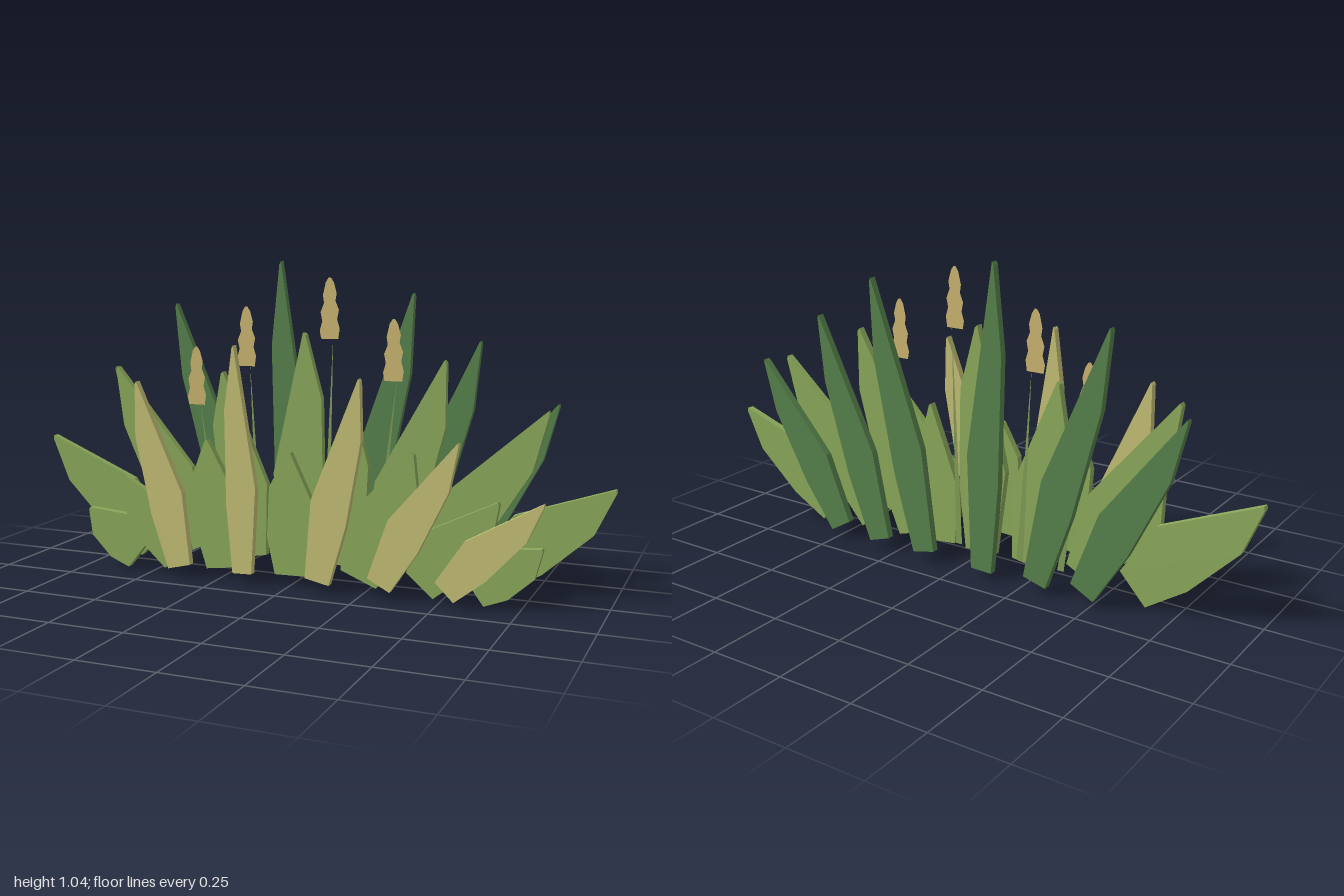
import * as THREE from 'three';

const THICK = 0.025;
// Half outline of a leaf: [across (in widths, + is the outer side), along (0 base, 1 tip)]
const LEAF = [[-0.34, 0], [-0.58, 0.38], [-0.02, 1], [0.03, 0.99], [0.36, 0.72], [0.42, 0.3], [0.3, 0]];
// Right half of a seed head: [half width, height]
const HEAD = [[0.03, 0], [0.035, 0.035], [0.026, 0.065], [0.032, 0.095], [0.02, 0.125], [0.024, 0.15], [0.014, 0.185], [0.004, 0.2]];

// Each leaf: base x, base y, tip x, tip y, width
const LAYERS = [
  { name: 'backLeaf', z: -0.16, color: 0x55804a, leaves: [
    [-0.48, 0.06, -0.80, 0.67, 0.14], [-0.31, 0.05, -0.55, 0.90, 0.13], [-0.11, 0.04, -0.15, 1.05, 0.12],
    [0.125, 0.05, 0.32, 0.95, 0.13], [0.31, 0.05, 0.545, 0.80, 0.13], [0.48, 0.06, 0.80, 0.61, 0.14]] },
  { name: 'middleLeaf', z: -0.054, color: 0x8aa85a, leaves: [
    [-0.60, 0.06, -1.0, 0.42, 0.21], [-0.42, 0.06, -0.73, 0.68, 0.19], [-0.22, 0.05, -0.32, 0.68, 0.18],
    [-0.03, 0.05, -0.02, 0.82, 0.18], [0.12, 0.05, 0.165, 0.53, 0.15], [0.25, 0.05, 0.46, 0.745, 0.18],
    [0.42, 0.06, 0.79, 0.60, 0.19], [0.61, 0.06, 1.0, 0.37, 0.2]] },
  { name: 'frontLeaf', z: 0.12, color: 0x8aa85a, leaves: [
    [-0.56, 0.06, -0.745, 0.21, 0.18], [-0.41, 0.06, -0.605, 0.33, 0.18], [-0.24, 0.05, -0.295, 0.475, 0.19],
    [0.01, 0.05, 0.0, 0.45, 0.2], [0.24, 0.06, 0.41, 0.475, 0.2], [0.44, 0.06, 0.68, 0.34, 0.18],
    [0.61, 0.06, 0.815, 0.21, 0.17]] },
  { name: 'dryLeaf', z: 0.163, color: 0xc2bd74, leaves: [
    [-0.38, 0.05, -0.53, 0.66, 0.13], [-0.15, 0.05, -0.175, 0.79, 0.105], [0.115, 0.05, 0.25, 0.70, 0.13],
    [0.32, 0.06, 0.565, 0.52, 0.13], [0.53, 0.06, 0.825, 0.355, 0.13]] },
];

// Seed heads: centre x, bottom y
const HEADS = [[-0.43, 0.56], [-0.24, 0.70], [0.06, 0.80], [0.28, 0.67]];

function shapeOf(points) {
  return new THREE.Shape(points.map(([x, y]) => new THREE.Vector2(x, y)));
}

// Thick leaf leaning from its base to its tip
function makeLeaf([bx, by, tx, ty, w]) {
  const dx = tx - bx, dy = ty - by, len = Math.hypot(dx, dy);
  const side = dx < 0 ? -1 : 1;
  const nx = (side * dy) / len, ny = (-side * dx) / len;
  const pts = LEAF.map(([u, t]) => [bx + dx * t + nx * u * w, by + dy * t + ny * u * w]);
  const geo = new THREE.ExtrudeGeometry(shapeOf(pts), { depth: THICK, bevelEnabled: false });
  return geo.translate(0, 0, -THICK / 2);
}

export function createModel() {
  const model = new THREE.Group();
  model.name = 'plant';

  // Four flat rows of leaves
  for (const { name, z, color, leaves } of LAYERS) {
    const row = new THREE.Group();
    row.name = name + 'Row';
    const mat = new THREE.MeshStandardMaterial({ color, flatShading: true });
    for (const leaf of leaves) {
      const mesh = new THREE.Mesh(makeLeaf(leaf), mat);
      mesh.name = name;
      mesh.position.z = z;
      row.add(mesh);
    }
    model.add(row);
  }

  // Paper-thin seed heads on slender stems
  const headMat = new THREE.MeshStandardMaterial({ color: 0xc9b36e, side: THREE.DoubleSide });
  const stemMat = new THREE.MeshStandardMaterial({ color: 0x7f9a55, side: THREE.DoubleSide });
  const outline = [...HEAD, ...HEAD.map(([x, y]) => [-x, y - (y > 0.02 && y < 0.18 ? 0.008 : 0)]).reverse()];
  for (const [x, y] of HEADS) {
    const head = new THREE.Mesh(new THREE.ShapeGeometry(shapeOf(outline)), headMat);
    head.name = 'seedHead';
    head.position.set(x, y, -0.069);
    const foot = x * 0.8;
    const stem = new THREE.Mesh(new THREE.ShapeGeometry(
      shapeOf([[foot - 0.012, 0.06], [foot + 0.012, 0.06], [x + 0.012, y + 0.01]])), stemMat);
    stem.name = 'stem';
    stem.position.z = -0.07;
    model.add(head, stem);
  }
  return model;
}
